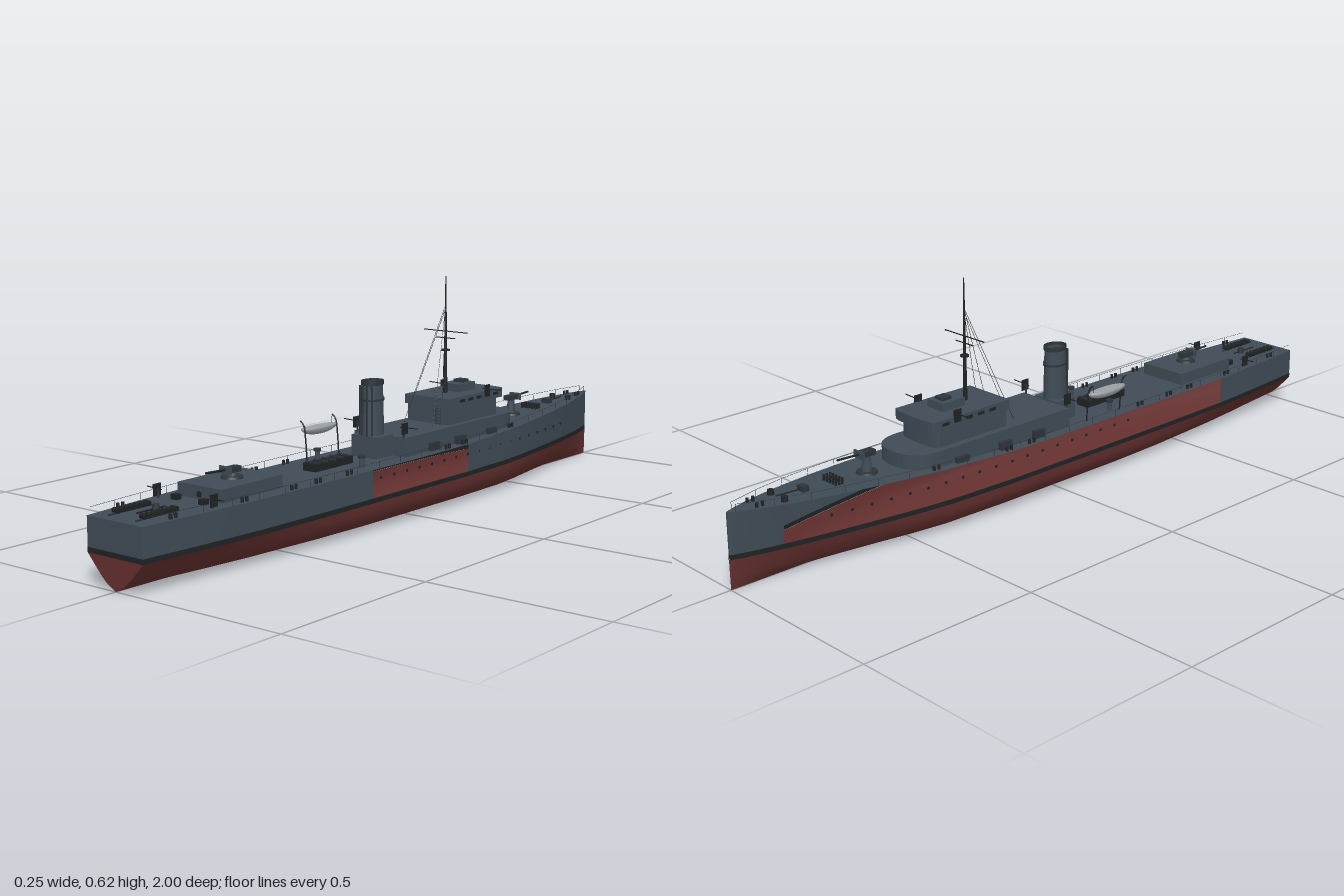
import * as THREE from 'three';

const mat = (name, color) => {
  const m = new THREE.MeshStandardMaterial({ color, side: THREE.DoubleSide });
  m.name = name;
  return m;
};

export function createModel() {
  const root = new THREE.Group();
  root.name = 'warship';
  const slate = mat('slate paint', 0x3f4b55);
  const red = mat('antifouling red', 0x622f2e);
  const black = mat('black', 0x1f2223);
  const steel = mat('dark steel', 0x2c343a);
  const pale = mat('boat grey', 0x9aa0a2);

  const add = (name, geo, m, x = 0, y = 0, z = 0, parent = root) => {
    const mesh = new THREE.Mesh(geo, m);
    mesh.name = name;
    mesh.position.set(x, y, z);
    parent.add(mesh);
    return mesh;
  };
  const box = (name, m, w, h, d, x, y, z, p) => add(name, new THREE.BoxGeometry(w, h, d), m, x, y + h / 2, z, p);
  const cyl = (name, m, r0, r1, h, x, y, z, n = 12, p = root) =>
    add(name, new THREE.CylinderGeometry(r1, r0, h, n), m, x, y + h / 2, z, p);
  const rod = (name, m, a, b, r, p = root) => {
    const va = new THREE.Vector3(...a), d = new THREE.Vector3(...b).sub(va);
    const mesh = add(name, new THREE.CylinderGeometry(r, r, d.length(), 6), m, 0, 0, 0, p);
    mesh.position.copy(va).addScaledVector(d, 0.5);
    mesh.quaternion.setFromUnitVectors(new THREE.Vector3(0, 1, 0), d.normalize());
    return mesh;
  };

  // Hull lines: half breadth, sheer and section fullness along z (bow at -z)
  const table = (t) => (z) => {
    let i = 0;
    while (i < t.length - 2 && z > t[i + 1][0]) i++;
    const [z0, a] = t[i], [z1, b] = t[i + 1];
    return a + (b - a) * THREE.MathUtils.clamp((z - z0) / (z1 - z0), 0, 1);
  };
  const breadth = table([[-1, 0.002], [-0.97, 0.015], [-0.93, 0.029], [-0.87, 0.046], [-0.8, 0.062], [-0.7, 0.08],
    [-0.6, 0.094], [-0.5, 0.105], [-0.4, 0.112], [-0.2, 0.12], [0.4, 0.12], [0.64, 0.116], [0.8, 0.107], [1, 0.09]]);
  const sheer = table([[-1, 0.2], [-0.6, 0.183], [-0.2, 0.167], [0, 0.165], [1, 0.165]]);
  const flare = table([[-1, 0.75], [-0.4, 1], [1, 1]]);
  const full = table([[-1, 0], [-0.8, 0.35], [-0.45, 1], [0.3, 1], [0.7, 0.55], [1, 0]]);
  const stations = [-1, -0.97, -0.93, -0.87, -0.8, -0.7, -0.6, -0.5, -0.4, -0.3, -0.2, 0, 0.22, 0.4, 0.52, 0.64, 0.75, 0.88, 1];

  const grid = (rows, flip) => {
    const n = rows[0].length, idx = [];
    for (let i = 0; i < rows.length - 1; i++) for (let j = 0; j < n - 1; j++) {
      const a = i * n + j, b = a + n;
      idx.push(...(flip ? [a, b, a + 1, a + 1, b, b + 1] : [a, a + 1, b, a + 1, b + 1, b]));
    }
    const g = new THREE.BufferGeometry();
    g.setAttribute('position', new THREE.Float32BufferAttribute(rows.flat(2), 3));
    g.setIndex(idx);
    g.computeVertexNormals();
    return g;
  };
  const heights = [0, 0.014, 0.034, 0.058, 0.078];
  const vee = [0, 0.3, 0.55, 0.8, 1], round = [0, 0.74, 0.93, 0.99, 1];
  const bottom = (z, s) => heights.map((y, k) =>
    [s * breadth(z) * flare(z) * THREE.MathUtils.lerp(vee[k], round[k], full(z)), y, z]);
  const topside = (z, s) => [[s * breadth(z) * flare(z), 0.09, z], [s * breadth(z), sheer(z), z]];
  const stripe = (z, s) => [0.078, 0.091].map((y) => [s * (breadth(z) * flare(z) + 0.001), y, z]);

  // The plating is open along a stretch of each side
  const plated = { 1: [[-1, -0.2], [0.22, 1]], '-1': [[-1, -0.87], [0.64, 1]] };
  for (const s of [1, -1]) {
    add('hullBottom', grid(stations.map((z) => bottom(z, s)), s < 0), red);
    add('waterlineStripe', grid(stations.map((z) => stripe(z, s)), s < 0), black);
    for (const [a, b] of plated[s])
      add('hullSide', grid(stations.filter((z) => z >= a && z <= b).map((z) => topside(z, s)), s < 0), slate);
  }
  add('deck', grid(stations.map((z) => [[-breadth(z), sheer(z), z], [breadth(z), sheer(z), z]]), true), slate);

  // Transom
  const outline = (pts) => new THREE.ShapeGeometry(new THREE.Shape(pts.map((p) => new THREE.Vector2(p[0], p[1]))));
  add('lowerTransom', outline([...bottom(1, 1), ...bottom(1, -1).reverse()]), red, 0, 0, 1);
  box('upperTransom', slate, 0.18, 0.074, 0.002, 0, 0.091, 0.999);
  box('transomStripe', black, 0.18, 0.013, 0.002, 0, 0.078, 0.999);

  // Portholes, bollards and guard rails
  for (const s of [1, -1]) {
    for (let z = -0.75; z < 0.25; z += 0.055) {
      const hole = cyl('porthole', black, 0.004, 0.004, 0.002, s * (breadth(z) - 0.001), 0.139, z, 10);
      hole.rotation.z = Math.PI / 2;
    }
    for (const z of [-0.92, -0.44, -0.2, -0.12, 0.3, 0.42, 0.51, 0.68, 0.9])
      for (const d of [-0.008, 0.008]) cyl('bollard', black, 0.004, 0.004, 0.012, s * (breadth(z) - 0.012), sheer(z), z + d, 8);
    for (let i = 0; i < 22; i++) {
      const z = -0.98 + i * 0.09, z2 = Math.min(z + 0.09, 0.99);
      const p = (q, h) => [s * (breadth(q) - 0.002), sheer(q) + h, q];
      rod('railPost', steel, p(z, 0), p(z, 0.018), 0.0006);
      rod('guardRail', steel, p(z, 0.018), p(z2, 0.018), 0.0005);
    }
  }

  // Long deckhouse and bridge with rounded fronts, drawn in plan
  const house = (name, w, front, back, curve, y, h) => {
    const sh = new THREE.Shape();
    sh.moveTo(-w, -back);
    sh.lineTo(w, -back);
    sh.lineTo(w, -front - curve);
    sh.bezierCurveTo(w * 0.95, -front - curve * 0.3, w * 0.6, -front, 0, -front);
    sh.bezierCurveTo(-w * 0.6, -front, -w * 0.95, -front - curve * 0.3, -w, -front - curve);
    const g = new THREE.ExtrudeGeometry(sh, { depth: h, bevelEnabled: false, curveSegments: 8 });
    g.rotateX(-Math.PI / 2);
    return add(name, g, slate, 0, y, 0);
  };
  house('deckhouse', 0.088, -0.505, 0.04, 0.08, 0.163, 0.055);
  house('bridge', 0.07, -0.42, -0.175, 0.015, 0.218, 0.05);
  house('bridgeTop', 0.077, -0.435, -0.17, 0.01, 0.266, 0.026);
  box('directorTower', slate, 0.06, 0.022, 0.075, 0, 0.292, -0.32);
  box('directorSight', steel, 0.03, 0.008, 0.03, 0, 0.314, -0.33);
  for (const s of [1, -1]) {
    for (let i = 0; i < 5; i++) box('bridgeWindow', black, 0.002, 0.008, 0.022, s * 0.0775, 0.276, -0.39 + i * 0.04);
    for (const z of [-0.35, -0.2, -0.08]) box('houseLocker', steel, 0.012, 0.022, 0.04, s * 0.093, 0.167, z);
    rod('ladderSide', steel, [0.042 + s * 0.007, 0.218, -0.165], [0.042 + s * 0.007, 0.268, -0.165], 0.001);
  }
  for (let i = 0; i < 6; i++) box('ladderRung', steel, 0.014, 0.001, 0.001, 0.042, 0.222 + i * 0.008, -0.165);

  // Mast with yards and stays
  cyl('mast', black, 0.006, 0.0015, 0.33, 0, 0.29, -0.255, 8);
  cyl('mastPlatform', black, 0.012, 0.012, 0.004, 0, 0.411, -0.255);
  for (const [y, w] of [[0.466, 0.075], [0.447, 0.033]]) rod('yard', black, [-w, y, -0.255], [w, y, -0.255], 0.0015);
  for (const s of [1, -1]) {
    rod('stay', black, [0, 0.53, -0.255], [s * 0.05, 0.28, -0.172], 0.0006);
    rod('aftStay', black, [0, 0.54, -0.255], [s * 0.05, 0.22, -0.13], 0.0006);
  }

  // Oval funnel with bands, cap and steam pipes
  const oval = (name, m, r0, r1, h, y, open = false) => {
    const mesh = add(name, new THREE.CylinderGeometry(r1, r0, h, 24, 1, open), m, 0, y + h / 2, 0.072);
    mesh.scale.z = 1.2;
    return mesh;
  };
  box('funnelBase', slate, 0.086, 0.058, 0.07, 0, 0.165, 0.072);
  oval('funnel', slate, 0.029, 0.026, 0.14, 0.22, true);
  oval('funnelInside', black, 0.025, 0.025, 0.002, 0.35);
  oval('funnelCap', steel, 0.028, 0.028, 0.012, 0.357, true);
  oval('funnelBand', steel, 0.03, 0.03, 0.006, 0.315, true);
  for (const x of [-0.02, -0.008, 0.008, 0.02]) cyl('steamPipe', steel, 0.003, 0.003, 0.135, x, 0.222, 0.108 - Math.abs(x) * 0.45, 8);

  // Engine skylight and ventilators
  box('skylight', black, 0.042, 0.02, 0.15, 0, 0.165, 0.255);
  for (let i = 0; i < 5; i++) box('skylightFrame', steel, 0.046, 0.004, 0.005, 0, 0.184, 0.19 + i * 0.032);
  for (const s of [1, -1]) {
    cyl('ventilator', slate, 0.007, 0.007, 0.025, s * 0.075, 0.165, 0.21);
    cyl('ventilatorHead', steel, 0.01, 0.01, 0.007, s * 0.075, 0.19, 0.21);
  }

  // Aft deckhouse
  box('aftDeckhouse', slate, 0.145, 0.035, 0.215, 0, 0.163, 0.62);
  const port = cyl('aftDoor', black, 0.008, 0.008, 0.003, 0, 0.176, 0.728, 16);
  port.rotation.x = Math.PI / 2;
  for (const s of [1, -1]) box('deckLocker', black, 0.018, 0.013, 0.018, s * 0.045, 0.165, 0.76);

  // Deck guns
  const gun = (y, z, dir, base) => {
    const g = new THREE.Group();
    g.name = 'deckGun';
    g.position.set(0, y, z);
    cyl('gunRing', steel, 0.028, 0.026, 0.006, 0, 0, 0, 20, g);
    cyl('gunPedestal', slate, 0.014, 0.01, base, 0, 0, 0, 12, g);
    box('gunCradle', steel, 0.022, 0.014, 0.045, 0, base, 0, g);
    box('gunShield', slate, 0.04, 0.02, 0.004, 0, base - 0.002, dir * 0.022, g);
    rod('gunBarrel', black, [0, base + 0.008, 0], [0, base + 0.012, dir * 0.09], 0.003, g);
    root.add(g);
  };
  gun(sheer(-0.585), -0.585, -1, 0.045);
  gun(0.198, 0.615, 1, 0.014);

  // Light guns pointing outboard
  for (const s of [1, -1]) for (const [x, y, z, foot] of [[0.073, 0.298, -0.35, 0.29], [0.079, 0.245, 0.038, 0.217], [0.09, 0.187, 0.775, 0.165]]) {
    rod('lightGunPost', steel, [s * x, foot, z], [s * x, y, z], 0.003);
    box('lightGunShield', black, 0.003, 0.03, 0.024, s * (x + 0.004), y - 0.018, z);
    rod('lightGunBarrel', black, [s * (x - 0.012), y - 0.001, z], [s * 0.126, y + 0.001, z], 0.0014);
  }

  // Ship's boat on davits
  const hullBoat = add('boatHull', new THREE.SphereGeometry(1, 16, 8, 0, Math.PI * 2, Math.PI / 2, Math.PI / 2), pale, -0.107, 0.246, 0.165);
  hullBoat.scale.set(0.021, 0.02, 0.07);
  const cover = cyl('boatCover', pale, 1, 0.9, 0.003, -0.107, 0.245, 0.165, 20);
  cover.scale.set(0.019, 1, 0.067);
  for (const z of [0.105, 0.235]) {
    const path = new THREE.CatmullRomCurve3([[-0.09, 0.165], [-0.094, 0.22], [-0.1, 0.258], [-0.112, 0.27]].map(([x, y]) => new THREE.Vector3(x, y, z)));
    add('davit', new THREE.TubeGeometry(path, 10, 0.002, 6), black);
    rod('boatFall', black, [-0.112, 0.27, z], [-0.107, 0.245, z < 0.17 ? 0.115 : 0.215], 0.0007);
  }

  // Depth charges on the quarterdeck
  for (const s of [1, -1]) {
    for (let i = 0; i < 7; i++) {
      const c = cyl('depthCharge', black, 0.0065, 0.0065, 0.018, s * 0.045, 0.165, 0.855 + i * 0.016, 10);
      c.rotation.z = Math.PI / 2;
    }
    rod('chargeRail', steel, [s * 0.045, 0.167, 0.84], [s * 0.045, 0.167, 0.975], 0.0025);
  }
  cyl('sternCapstan', steel, 0.01, 0.008, 0.016, 0, 0.165, 0.87);
  rod('sternHoist', black, [0, 0.17, 0.84], [0, 0.17, 0.93], 0.002);

  // Forecastle: mortar rows, windlass, chain and jackstaff
  for (let i = 0; i < 5; i++) for (let j = 0; j < 3; j++)
    cyl('mortarTube', black, 0.003, 0.003, 0.016, -0.024 + i * 0.012, sheer(-0.69), -0.7 + j * 0.01, 8);
  box('windlass', steel, 0.026, 0.014, 0.018, 0, sheer(-0.78), -0.78);
  rod('anchorChain', black, [0, 0.197, -0.79], [0, 0.2, -0.86], 0.002);
  for (const s of [1, -1]) cyl('capstan', black, 0.009, 0.008, 0.013, s * 0.028, sheer(-0.86), -0.855);
  return root;
}
